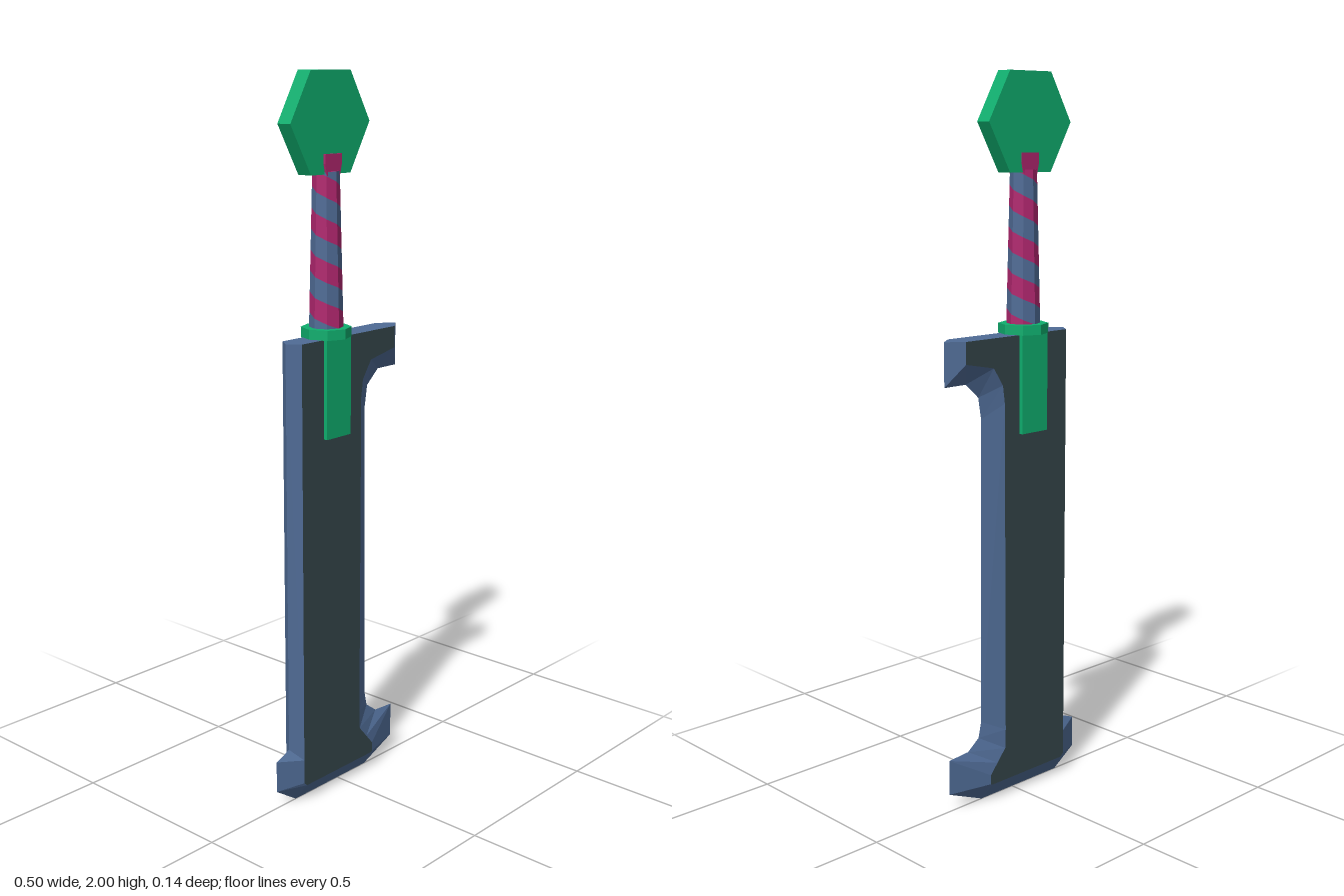
import * as THREE from 'three';

const mat = (name, color) => {
  const m = new THREE.MeshStandardMaterial({ color, flatShading: true });
  m.name = name;
  return m;
};

// Non-indexed geometry from a flat list of corner points
function fromCorners(points) {
  const g = new THREE.BufferGeometry();
  g.setAttribute('position', new THREE.Float32BufferAttribute(points.flat(), 3));
  g.computeVertexNormals();
  return g;
}

// Blade outline pairs: sharp edge (x, y) and matching flat-face border (x, y)
const OUTLINE = [
  [-0.20, 1.31, -0.175, 1.31], [-0.20, 0.16, -0.175, 0.16],
  [-0.25, 0.14, -0.175, 0.13], [-0.25, 0.05, -0.175, 0.06],
  [-0.175, 0, -0.165, 0.05], [0.12, 0, 0.11, 0.05],
  [0.24, 0.05, 0.115, 0.053], [0.24, 0.15, 0.115, 0.08],
  [0.17, 0.155, 0.09, 0.11], [0.13, 0.185, 0.06, 0.145],
  [0.12, 0.23, 0.058, 0.20], [0.115, 1.09, 0.06, 1.13],
  [0.125, 1.15, 0.067, 1.18], [0.17, 1.19, 0.10, 1.23],
  [0.245, 1.19, 0.20, 1.25], [0.245, 1.31, 0.20, 1.31],
];
const HALF = 0.035;
const GRIP_X = -0.043;

export function createModel() {
  const steel = mat('blue steel', 0x4f6b95);
  const dark = mat('dark steel', 0x35464a);
  const green = mat('green', 0x0fae6e);
  const wrap = mat('magenta wrap', 0xb0266e);
  const model = new THREE.Group();
  model.name = 'sword';

  const add = (name, geometry, material, x = 0, y = 0, z = 0) => {
    const mesh = new THREE.Mesh(geometry, material);
    mesh.name = name;
    mesh.position.set(x, y, z);
    model.add(mesh);
    return mesh;
  };

  // Blade: bevels run from the sharp outline to both flat faces
  const bevel = [], flat = [];
  const tri = (list, a, b, c, side) => list.push(...(side > 0 ? [a, b, c] : [a, c, b]));
  const border = OUTLINE.map(p => new THREE.Vector2(p[2], p[3]));
  const faces = THREE.ShapeUtils.triangulateShape(border, []);
  for (const side of [1, -1]) {
    const inner = border.map(p => [p.x, p.y, side * HALF]);
    OUTLINE.forEach((p, i) => {
      const j = (i + 1) % OUTLINE.length;
      const a = [p[0], p[1], 0], b = [OUTLINE[j][0], OUTLINE[j][1], 0];
      tri(bevel, a, b, inner[j], side);
      tri(bevel, a, inner[j], inner[i], side);
    });
    for (const [a, b, c] of faces) tri(flat, inner[a], inner[b], inner[c], side);
  }
  add('bladeBevel', fromCorners(bevel), steel);
  add('bladeFaces', fromCorners(flat), dark);

  // Guard collar and the plates clasping the blade
  add('guard', new THREE.CylinderGeometry(0.068, 0.068, 0.027, 8), green, GRIP_X, 1.323, 0);
  add('guardPlate', new THREE.BoxGeometry(0.095, 0.275, 0.092), green, GRIP_X, 1.1775, 0);

  // Tapered octagonal grip with a spiral wrap
  const Y0 = 1.335, Y1 = 1.745, PITCH = 0.11, SIDES = 8;
  const corner = (i, y) => {
    const h = THREE.MathUtils.clamp(y, Y0, Y1);
    const r = THREE.MathUtils.mapLinear(h, Y0, Y1, 0.046, 0.036);
    const t = i / SIDES * Math.PI * 2;
    return [Math.sin(t) * r, h, Math.cos(t) * r];
  };
  const bands = [[], []];
  for (let i = 0; i < SIDES; i++) {
    for (let k = -2; k < 10; k++) {
      const low = n => Y0 + PITCH * (k / 2 - n / SIDES + 1);
      const top = n => low(n) + PITCH / 2;
      if (top(i) <= Y0 || low(i + 1) >= Y1) continue;
      const a = corner(i, low(i)), b = corner(i + 1, low(i + 1));
      const c = corner(i + 1, top(i + 1)), d = corner(i, top(i));
      bands[Math.abs(k) % 2].push(a, b, c, a, c, d);
    }
  }
  add('gripWrap', fromCorners(bands[0]), wrap, GRIP_X);
  add('gripCore', fromCorners(bands[1]), steel, GRIP_X);
  add('gripTop', new THREE.CylinderGeometry(0.036, 0.036, 0.004, SIDES), wrap, GRIP_X, 1.744, 0);

  // Clasp holding the pommel
  const clasp = new THREE.Shape([[-0.025, 1.735], [0.025, 1.735], [0.032, 1.765], [0.032, 1.79],
    [-0.032, 1.79], [-0.032, 1.765]].map(p => new THREE.Vector2(...p)));
  add('pommelClasp', new THREE.ExtrudeGeometry(clasp, { depth: 0.054, bevelEnabled: false }),
    wrap, GRIP_X, 0, -0.027);

  // Hexagonal pommel
  const pommel = new THREE.CylinderGeometry(0.151, 0.151, 0.045, 6, 1, false, Math.PI / 6);
  add('pommel', pommel.rotateX(Math.PI / 2), green, -0.046, 1.869, -0.002);

  return model;
}
